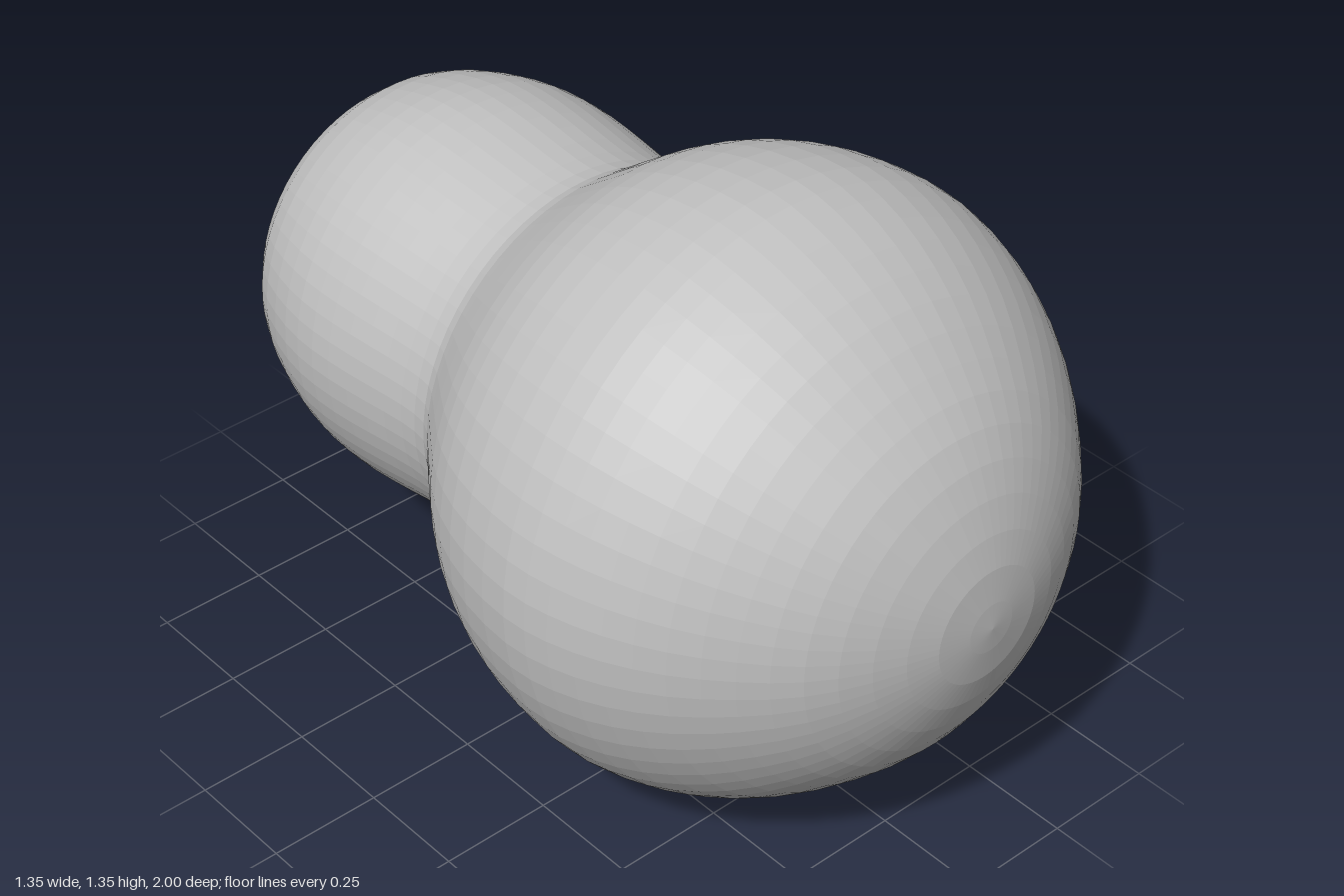
import * as THREE from 'three';

// Half profile of the bulb: [radius, z], from the narrow back to the round front
const PROFILE = [
  [0, -1], [0.11, -0.99], [0.21, -0.96], [0.31, -0.9], [0.39, -0.81],
  [0.435, -0.7], [0.458, -0.59], [0.46, -0.48], [0.45, -0.37], [0.438, -0.26],
  [0.443, -0.18], [0.48, -0.12], [0.567, 0], [0.622, 0.1], [0.66, 0.22],
  [0.675, 0.36], [0.66, 0.47], [0.62, 0.58], [0.555, 0.69], [0.47, 0.79],
  [0.375, 0.875], [0.26, 0.94], [0.13, 0.985], [0, 1],
];

export function createModel() {
  const group = new THREE.Group();
  group.name = 'bulb';

  const grey = new THREE.MeshStandardMaterial({ color: 0xc0c0c0, flatShading: true });
  grey.name = 'plain grey';

  // Smooth the profile, keeping both poles exactly on the axis
  const curve = new THREE.SplineCurve(PROFILE.map(([r, z]) => new THREE.Vector2(r, z)));
  const points = curve.getPoints((PROFILE.length - 1) * 2);
  points.forEach((p) => { p.x = Math.max(0, p.x); });
  points[0].x = points[points.length - 1].x = 0;

  // Spin it, then lay the axis along z
  const geometry = new THREE.LatheGeometry(points, 64);
  geometry.rotateX(Math.PI / 2);

  const body = new THREE.Mesh(geometry, grey);
  body.name = 'bulbBody';
  body.position.y = 0.675;
  group.add(body);
  return group;
}
